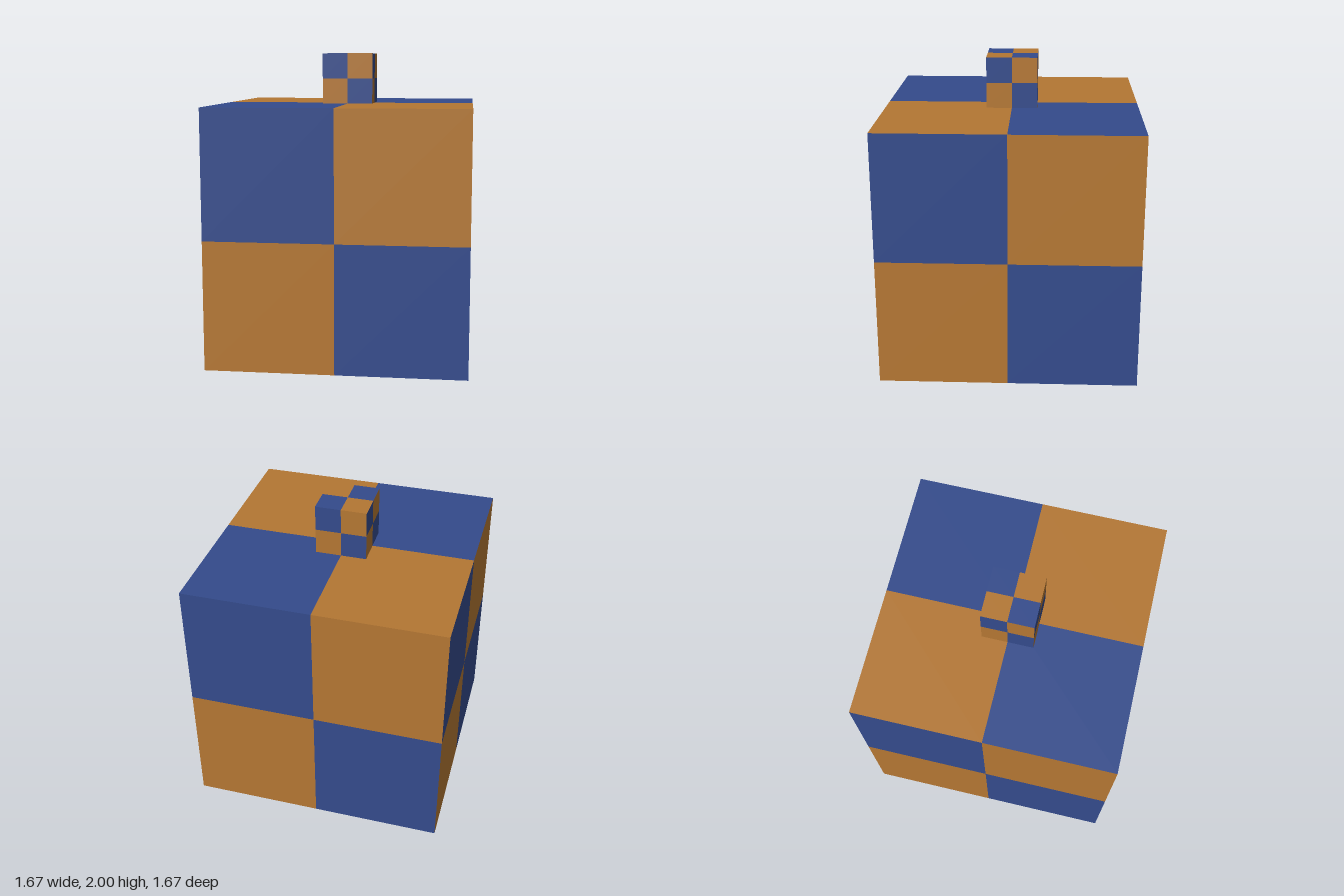
import * as THREE from 'three';

const blue = new THREE.MeshStandardMaterial({ name: 'blue', color: 0x344b8c });
const orange = new THREE.MeshStandardMaterial({ name: 'orange', color: 0xb47733 });

// Cube with every face split into a 2 x 2 checker
function checkerCube(name, size, baseY) {
  const geometry = new THREE.BoxGeometry(size, size, size, 2, 2, 2);
  geometry.clearGroups();
  for (let face = 0; face < 6; face++) {
    // Top and bottom faces start on the other colour
    const shift = face === 2 || face === 3 ? 1 : 0;
    for (let row = 0; row < 2; row++) {
      for (let col = 0; col < 2; col++) {
        const quad = face * 4 + row * 2 + col;
        geometry.addGroup(quad * 6, 6, (row + col + shift) % 2);
      }
    }
  }
  const mesh = new THREE.Mesh(geometry, [blue, orange]);
  mesh.name = name;
  mesh.position.y = baseY + size / 2;
  return mesh;
}

export function createModel() {
  const model = new THREE.Group();
  model.name = 'checkeredCubes';
  const large = 5 / 3;
  model.add(checkerCube('largeCube', large, 0));
  model.add(checkerCube('smallCube', large / 5, large));
  return model;
}
